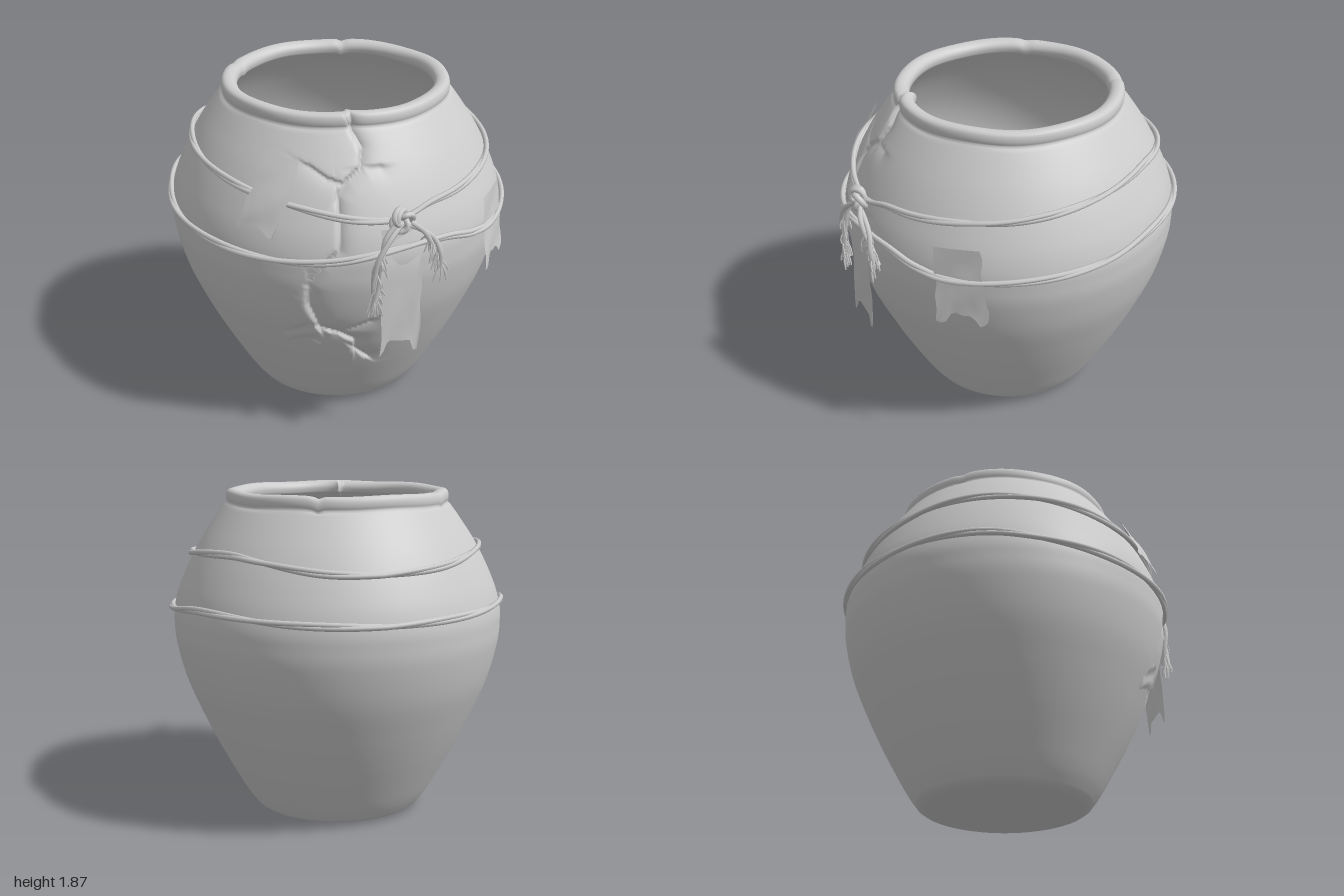
import * as THREE from 'three';
import { mergeVertices } from 'three/addons/utils/BufferGeometryUtils.js';

const CZ = -0.025; // jar axis is set slightly back, the knot hangs in front
const V3 = (x, y, z) => new THREE.Vector3(x, y, z);
const V2 = (a) => new THREE.Vector2(a[0], a[1]);
const lerp = THREE.MathUtils.lerp;

// outer wall as [radius, height]
const WALL = [[0.495, 0.03], [0.545, 0.1], [0.604, 0.2], [0.712, 0.4], [0.807, 0.6], [0.888, 0.8], [0.938, 1.0], [0.948, 1.12],
  [0.945, 1.2], [0.92, 1.3], [0.88, 1.4], [0.832, 1.5], [0.775, 1.6], [0.708, 1.7], [0.65, 1.78], [0.632, 1.8]];
const RIM = [[0.632, 1.8], [0.638, 1.815], [0.638, 1.84], [0.628, 1.864], [0.6, 1.872], [0.567, 1.862], [0.55, 1.835], [0.555, 1.8]];
const INSIDE = [[0.555, 1.8], [0.62, 1.73], [0.715, 1.6], [0.82, 1.4], [0.875, 1.2], [0.868, 1.0], [0.74, 0.6], [0.54, 0.2], [0.49, 0.12], [0.43, 0.09]];

// cracks as [x, y] seen from the front
const CRACKS = [
  [[-0.16, 1.9], [-0.16, 1.78], [-0.13, 1.71], [-0.16, 1.62], [-0.24, 1.57], [-0.3, 1.5], [-0.31, 1.38], [-0.33, 1.24], [-0.42, 1.15],
    [-0.48, 1.04], [-0.47, 0.9], [-0.4, 0.73], [-0.3, 0.69], [-0.2, 0.62], [-0.19, 0.54], [-0.11, 0.46]],
  [[-0.05, 1.62], [-0.16, 1.62]],
  [[-0.24, 1.55], [-0.33, 1.58], [-0.4, 1.63]],
  [[-0.14, 0.78], [-0.3, 0.7]],
];

function wallRadius(y) {
  for (let i = 1; i < WALL.length; i++) {
    const [r0, y0] = WALL[i - 1], [r1, y1] = WALL[i];
    if (y <= y1) return lerp(r0, r1, Math.max(0, (y - y0) / (y1 - y0)));
  }
  return WALL[WALL.length - 1][0];
}

function crackDepth(x, y) {
  let depth = 0;
  CRACKS.forEach((line, n) => {
    for (let i = 1; i < line.length; i++) {
      const [ax, ay] = line[i - 1], [bx, by] = line[i];
      const dx = bx - ax, dy = by - ay;
      const t = THREE.MathUtils.clamp(((x - ax) * dx + (y - ay) * dy) / (dx * dx + dy * dy), 0, 1);
      const d = Math.hypot(x - ax - dx * t, y - ay - dy * t);
      const sunk = dx * (y - ay) - dy * (x - ax) > 0; // one lip of the crack sits lower
      depth = Math.max(depth, (n ? 0.022 : 0.034) * Math.exp(-d / (sunk ? 0.035 : 0.007)));
    }
  });
  return depth;
}

function jarGeometry() {
  const spline = (pts, n) => new THREE.SplineCurve(pts.map(V2)).getSpacedPoints(n);
  const base = [[0, 0], [0.25, 0], [0.4, 0], [0.44, 0.004], [0.472, 0.014]].map(V2);
  const outer = [...base, ...spline(WALL, 140), ...spline(RIM, 18).slice(1)];
  const profile = [...outer, ...spline(INSIDE, 28).slice(1), V2([0, 0.08])];
  const geo = new THREE.LatheGeometry(profile, 220, Math.PI);
  const p = geo.attributes.position;
  for (let i = 0; i < p.count; i++) {
    const j = i % profile.length, y = p.getY(i);
    let r = profile[j].x;
    // finer columns near the cracks
    let a = Math.PI + Math.floor(i / profile.length) / 220 * Math.PI * 2;
    a -= 0.7 * Math.sin(a + 0.28);
    const x = r * Math.sin(a);
    if (j < outer.length && y > 0.4 && Math.cos(a) > 0) r -= crackDepth(x, y);
    // notches and slight waviness of the rim
    let drop = 0;
    if (y > 1.79) {
      for (const notch of [-2.28, 2.7]) {
        const d = Math.abs(Math.atan2(Math.sin(a - notch), Math.cos(a - notch)));
        drop += 0.018 * Math.exp(-d / 0.03);
      }
      drop += 0.003 + 0.003 * Math.sin(a * 7);
    }
    p.setXYZ(i, r * Math.sin(a), y - drop, r * Math.cos(a) + CZ);
  }
  geo.deleteAttribute('uv');
  geo.deleteAttribute('normal');
  const merged = mergeVertices(geo, 1e-5);
  merged.computeVertexNormals();
  return merged;
}

export function createModel() {
  const model = new THREE.Group();
  const clay = new THREE.MeshStandardMaterial({ color: 0xcccccc, side: THREE.DoubleSide });
  clay.name = 'clay grey';
  let seed = 7;
  const rand = () => (seed = (seed * 16807) % 2147483647) / 2147483647;

  const add = (geo, name, parent = model) => {
    const mesh = new THREE.Mesh(geo, clay);
    mesh.name = name;
    parent.add(mesh);
    return mesh;
  };
  const group = (name) => {
    const g = new THREE.Group();
    g.name = name;
    model.add(g);
    return g;
  };
  const tube = (pts, r, name, parent, seg = 16, sides = 6, closed = false) =>
    add(new THREE.TubeGeometry(new THREE.CatmullRomCurve3(pts, closed), seg, r, sides, closed), name, parent);

  add(jarGeometry(), 'jar');

  // two lightly twisted strands wound around the wall; heights are [degrees from front, y]
  function ropeRing(name, heights, turns) {
    const samples = new THREE.SplineCurve(heights.map(V2)).getPoints(240);
    const heightAt = (deg) => {
      const k = Math.max(1, samples.findIndex((s) => s.x >= deg));
      const s0 = samples[k - 1], s1 = samples[k];
      return lerp(s0.y, s1.y, (deg - s0.x) / (s1.x - s0.x));
    };
    const ring = group(name);
    for (let s = 0; s < 2; s++) {
      const pts = [];
      for (let i = 0; i < 120; i++) {
        const deg = i * 3 - 180, a = THREE.MathUtils.degToRad(deg);
        const y = heightAt(deg);
        const twist = a * turns + s * Math.PI;
        const r = wallRadius(y) + 0.015 + 0.006 * Math.cos(twist);
        pts.push(V3(r * Math.sin(a), y + 0.009 * Math.sin(twist), r * Math.cos(a) + CZ));
      }
      tube(pts, 0.0145, 'strand', ring, 240, 7, true);
    }
  }
  ropeRing('upperRope', [[-180, 1.485], [-155, 1.505], [-130, 1.545], [-105, 1.555], [-75, 1.525], [-40, 1.465], [-15, 1.4], [0, 1.385],
    [12, 1.425], [25, 1.438], [45, 1.465], [60, 1.48], [90, 1.525], [118, 1.555], [135, 1.538], [160, 1.495], [180, 1.485]], 4);
  ropeRing('lowerRope', [[-180, 1.235], [-150, 1.245], [-115, 1.25], [-90, 1.205], [-50, 1.18], [-25, 1.19], [0, 1.24],
    [16, 1.235], [30, 1.185], [45, 1.165], [90, 1.215], [115, 1.258], [150, 1.245], [180, 1.235]], 4);

  // knot
  const knot = group('knot');
  knot.position.set(-0.01, 1.395, 0.915);
  const loops = add(new THREE.TorusKnotGeometry(0.041, 0.016, 72, 7, 2, 3), 'knotLoops', knot);
  loops.scale.z = 1.1;
  const wrap = add(new THREE.TorusGeometry(0.042, 0.016, 7, 24), 'knotWrap', knot);
  wrap.position.y = 0.012;
  wrap.rotation.y = 0.6;

  // frayed rope ends
  function tassel(name, path, frayFrom, count) {
    const g = group(name);
    for (let s = 0; s < 2; s++) {
      const pts = path.map(([x, y, z], i) => V3(x + (s ? 0.018 : -0.018) * Math.cos(i * 1.3), y, z + (s ? 0.014 : -0.012) * Math.sin(i * 1.3)));
      tube(pts, 0.0145, 'strand', g, 24, 6);
    }
    const curve = new THREE.CatmullRomCurve3(path.map((q) => V3(...q)));
    for (let i = 0; i < count; i++) {
      const start = curve.getPoint(lerp(frayFrom, 0.98, rand()));
      const dx = (rand() - 0.5) * 0.09, len = 0.06 + rand() * 0.06, dz = (rand() - 0.5) * 0.06;
      tube([start, V3(start.x + dx * 0.6, start.y - len * 0.5, start.z + dz), V3(start.x + dx, start.y - len, start.z + dz)],
        0.005, 'fibre', g, 5, 4);
    }
  }
  tassel('rightTassel', [[-0.03, 1.38, 0.925], [-0.1, 1.31, 0.945], [-0.145, 1.2, 0.955], [-0.16, 1.08, 0.952], [-0.17, 0.95, 0.947]], 0.4, 34);
  tassel('leftTassel', [[0.02, 1.38, 0.925], [0.09, 1.335, 0.94], [0.15, 1.27, 0.945], [0.185, 1.19, 0.945], [0.215, 1.1, 0.935]], 0.35, 30);

  // torn paper: corners in front view (top left, top right, bottom right, bottom left),
  // tear lifts the lower edge column by column, depth gives z at x, y
  function paper(name, [tl, tr, br, bl], tear, depth) {
    const cols = tear.length - 1, rows = 12;
    const geo = new THREE.PlaneGeometry(1, 1, cols, rows);
    const p = geo.attributes.position;
    for (let i = 0; i < p.count; i++) {
      const c = i % (cols + 1), u = c / cols, v = Math.floor(i / (cols + 1)) / rows;
      const ragged = (c === 0 || c === cols) ? 0.004 * Math.sin(v * 17 + c) : 0;
      const x = lerp(lerp(tl[0], tr[0], u), lerp(bl[0], br[0], u), v) + ragged;
      const y = lerp(lerp(tl[1], tr[1], u), lerp(bl[1], br[1], u) + tear[c] * v, v);
      p.setXYZ(i, x, y, depth(x, y) + 0.005 * Math.sin(v * 9 + u * 4));
    }
    geo.computeVertexNormals();
    add(geo, name);
  }
  const onWall = (gap) => (x, y) => CZ + Math.sqrt((wallRadius(y) + gap) ** 2 - x * x);
  paper('hangingPaper', [[-0.11, 1.34], [0.1, 1.34], [0.11, 0.6], [-0.125, 0.6]],
    [0, 0.03, 0.075, 0.09, 0.085, 0.08, 0.075, 0.07, 0.07, 0.065, 0, 0, 0.11],
    (x, y) => lerp(0.932, onWall(0.012)(x, 1.34), THREE.MathUtils.smoothstep(y, 1.1, 1.34)));
  // stiff sheet leaning off the wall as it curves away
  paper('leftPaper', [[0.545, 1.345], [0.725, 1.355], [0.79, 0.91], [0.585, 0.895]],
    [0.01, 0, 0.01, 0.06, 0.07, 0.06, 0.055, 0.06, 0.05, 0.03, 0, 0.01, 0.03],
    (x, y) => Math.max(onWall(0.012)(x, y), 0.755 - 0.95 * (x - 0.545) + 0.11 * (1.35 - y)));
  paper('rightPaper', [[-0.58, 1.695], [-0.45, 1.665], [-0.625, 1.295], [-0.775, 1.325]],
    [0.01, 0, 0.03, 0.03, 0.02, 0.025, 0.03, 0.03, 0.03, 0.01, 0, 0, 0.03], onWall(0.042));
  paper('paperScrap', [[-0.53, 0.78], [-0.44, 0.79], [-0.37, 0.6], [-0.56, 0.6]],
    [0.03, 0.01, 0, 0.02, 0.03, 0.035, 0.04, 0.04, 0.04, 0.03, 0.02, 0, 0], onWall(0.009));

  return model;
}
